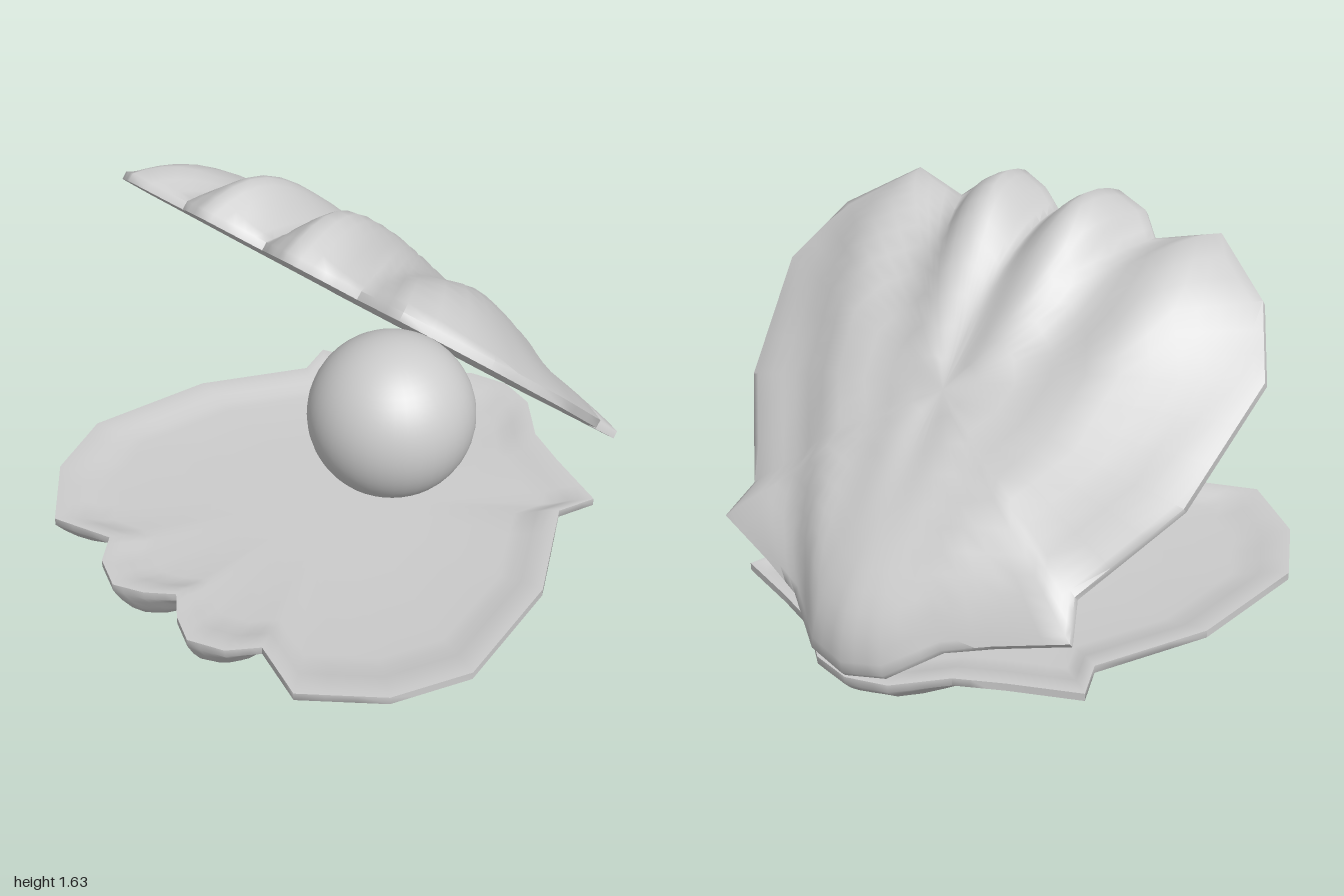
import * as THREE from 'three';
import { toCreasedNormals } from 'three/addons/utils/BufferGeometryUtils.js';

// Half of the scalloped rim, from the hinge to the front: [x, distance from hinge]
const HALF = [
  [0, 0], [0.15, 0.04], [0.31, 0.19], [0.48, 0.265], [0.73, 0.36], [0.68, 0.51],
  [0.91, 0.9], [1, 1.39], [0.88, 1.67], [0.64, 1.88], [0.41, 1.805],
  [0.33, 1.905], [0.2, 1.96], [0.09, 1.91], [0, 1.835],
];
// Across the fan, by angle: [angle, depth], [angle, rib height] and [angle, steepness at the rim]
const DOME = [[0, 0.235], [0.28, 0.215], [0.5, 0.11], [0.8, 0.085], [1.6, 0.08]];
const RIBS = [[0, -0.015], [0.085, 0.04], [0.186, -0.03], [0.29, 0.015], [0.4, 0], [1.6, 0]];
const STEEP = [[0, 4], [0.085, 9], [0.186, 4], [0.28, 6], [0.42, 5], [1.6, 5]];
const CENTRE = 1; // distance of the fan's middle from the hinge
const LIP = 0.03; // thickness of the rim
const { smoothstep, lerp } = THREE.MathUtils;

// Smooth lookup in a small table
function lookup(table, v) {
  const i = Math.max(1, table.findIndex(([key]) => v <= key));
  const [a, p] = table[i - 1], [b, q] = table[i];
  return lerp(p, q, smoothstep(v, a, b));
}

// Dome with ribs that fade out towards the hinge
function outerDepth(x, t, s) {
  const fade = smoothstep(t, 0.4, 1.7);
  const angle = Math.atan2(Math.abs(x), t + 0.4);
  const depth = lookup(DOME, angle) * lerp(0.8, 1, Math.min(1, t / 1.4)) + fade * lookup(RIBS, angle);
  const power = lerp(8, lookup(STEEP, angle), fade);
  return LIP + (depth - LIP) * (1 - s ** power);
}

// Nearly flat inside, slightly sunk below the rim
function innerDepth(x, t, s) {
  return 0.035 * smoothstep(1 - s, 0.02, 0.2);
}

// Full rim loop, each straight edge cut in three
function rimLoop() {
  const corners = [...HALF, ...HALF.slice(1, -1).reverse().map(([x, t]) => [-x, t])];
  return corners.flatMap(([x, t], i) => {
    const [x2, t2] = corners[(i + 1) % corners.length];
    return [0, 1 / 3, 2 / 3].map((k) => [lerp(x, x2, k), lerp(t, t2, k)]);
  });
}

// Closed shell valve: rings run from the outer middle, over the lip, to the inner middle
function valveGeometry() {
  const loop = rimLoop();
  const n = loop.length;
  const rings = [
    ...[0, 0.12, 0.24, 0.36, 0.48, 0.58, 0.67, 0.75, 0.82, 0.88, 0.93, 0.97, 1].map((s) => [s, outerDepth]),
    ...[1, 0.98, 0.94, 0.9, 0.85, 0.8, 0.4, 0].map((s) => [s, innerDepth]),
  ];
  const positions = [];
  for (const [s, depth] of rings) {
    for (const [rx, rt] of loop) {
      const x = rx * s, t = CENTRE + (rt - CENTRE) * s;
      positions.push(x, -depth(x, t, s), t);
    }
  }
  const index = [];
  const last = rings.length - 2;
  for (let i = 0; i <= last; i++) {
    for (let j = 0; j < n; j++) {
      const k = (j + 1) % n;
      const a = i * n + j, b = a + n, c = (i + 1) * n + k, d = i * n + k;
      if (i < last) index.push(a, b, c);
      if (i > 0) index.push(a, c, d);
    }
  }
  const geometry = new THREE.BufferGeometry();
  geometry.setAttribute('position', new THREE.Float32BufferAttribute(positions, 3));
  geometry.setIndex(index);
  return toCreasedNormals(geometry, 1.1);
}

export function createModel() {
  const model = new THREE.Group();
  model.name = 'openShellWithPearl';
  const material = new THREE.MeshStandardMaterial({ color: 0xcccccc });
  const geometry = valveGeometry();

  const lower = new THREE.Mesh(geometry, material);
  lower.name = 'lowerShell';
  lower.position.set(0, 0.255, -0.975);
  lower.rotation.x = -0.012;
  model.add(lower);

  // Same valve turned over and swung open about the hinge
  const upper = new THREE.Mesh(geometry, material);
  upper.name = 'upperShell';
  upper.position.set(0, 0.26, -0.97);
  upper.rotation.set(-0.735, 0, Math.PI);
  model.add(upper);

  const pearl = new THREE.Mesh(new THREE.SphereGeometry(0.33, 40, 28), material);
  pearl.name = 'pearl';
  pearl.position.set(-0.01, 0.47, -0.27);
  model.add(pearl);

  return model;
}
